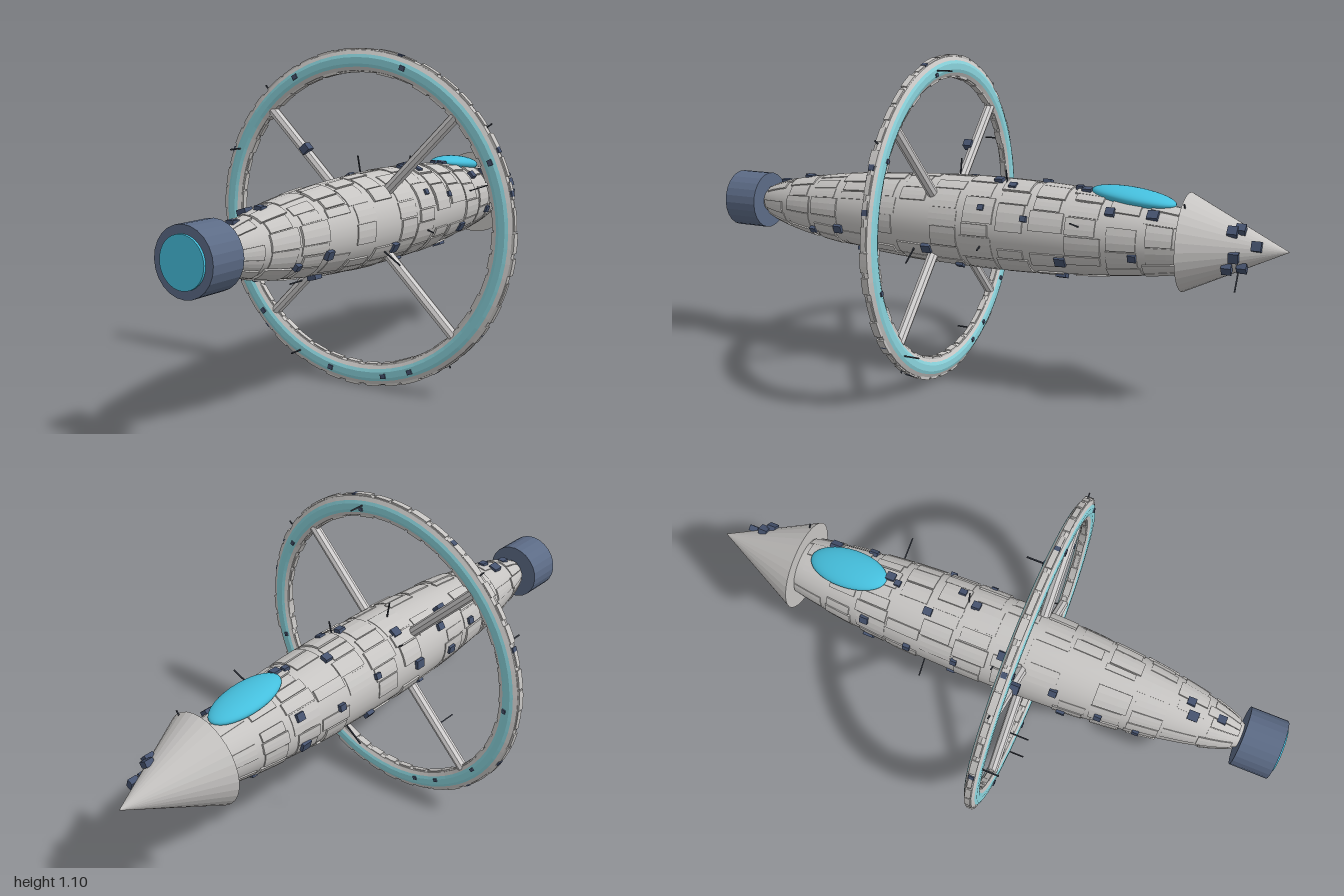
import * as THREE from 'three';
import { mergeGeometries } from 'three/addons/utils/BufferGeometryUtils.js';

const AXIS_Y = 0.555, HULL_R = 0.151, HULL_L = 0.9, RING_Z = 0.14;

const material = (name, color, side = THREE.FrontSide) =>
  Object.assign(new THREE.MeshStandardMaterial({ color, side }), { name });

// small seeded generator for panel layout
function seeded(seed) {
  return () => (seed = (seed * 16807) % 2147483647) / 2147483647;
}

// faceted normals
function flat(geometry) {
  const g = geometry.index ? geometry.toNonIndexed() : geometry;
  g.computeVertexNormals();
  return g;
}

const hullRadius = z => HULL_R * Math.sqrt(Math.max(0, 1 - (z / HULL_L) ** 2));
const coneRadius = z => 0.155 * (z + 1) / 0.31;

// box bent around the long axis: angle range, z range, radius range as functions of z
function bentPlate(a0, a1, z0, z1, inner, outer, segA, segZ) {
  const g = new THREE.BoxGeometry(1, 1, 1, segA, 1, segZ);
  const p = g.attributes.position;
  for (let i = 0; i < p.count; i++) {
    const a = a0 + (a1 - a0) * (p.getX(i) + 0.5);
    const z = z0 + (z1 - z0) * (p.getZ(i) + 0.5);
    const r = p.getY(i) > 0 ? outer(z) : inner(z);
    p.setXYZ(i, Math.sin(a) * r, Math.cos(a) * r, z);
  }
  return flat(g);
}

// box standing on a surface at angle a, radius r and depth z
function standing(w, h, d, a, r, z) {
  return new THREE.BoxGeometry(w, h, d).translate(0, r + h / 2 - 0.004, z).rotateZ(-a);
}

export function createModel() {
  const model = new THREE.Group();
  model.name = 'ringShip';
  const craft = new THREE.Group();
  craft.name = 'craft';
  craft.position.y = AXIS_Y;
  model.add(craft);

  const grey = material('hull grey', 0xc6c4c2);
  const pale = material('spoke grey', 0xd2d0d0);
  const slate = material('engine slate', 0x5c6b86);
  const navy = material('fitting navy', 0x46536f);
  const dark = material('antenna dark', 0x3a3f4a);
  const cyan = material('glow cyan', 0x45bfdd);
  const aqua = material('ring aqua', 0x8ad3dc, THREE.DoubleSide);
  const rim = material('ring grey', 0xc9c7c5, THREE.DoubleSide);

  const add = (name, geometry, mat) => {
    const mesh = new THREE.Mesh(geometry, mat);
    mesh.name = name;
    craft.add(mesh);
    return mesh;
  };

  // spindle hull
  add('hull', new THREE.SphereGeometry(1, 32, 32).rotateX(Math.PI / 2)
    .scale(HULL_R, HULL_R, HULL_L), grey);

  // raised hull plating in staggered rows
  const rnd = seeded(4711);
  const plates = [];
  const rows = 13;
  for (let i = 0; i < rows; i++) {
    const z0 = -0.69 + i * 1.55 / rows;
    let a = rnd() * 0.5;
    const end = a + Math.PI * 2;
    while (a < end - 0.05) {
      let next = Math.min(end, a + 0.22 + rnd() * 0.4);
      if (end - next < 0.15) next = end;
      const lift = 0.0015 + rnd() * 0.005;
      const za = z0 + rnd() * 0.025, zb = z0 + 1.55 / rows - rnd() * 0.02;
      if (rnd() < 0.8) {
        plates.push(bentPlate(a + 0.015, next - 0.015, za, zb,
          z => hullRadius(z) - 0.004, z => hullRadius(z) + lift, 3, 3));
      }
      a = next;
    }
  }
  add('hullPlating', mergeGeometries(plates), grey);

  // nose cone with a closed, overhanging base
  add('noseCone', flat(new THREE.ConeGeometry(0.155, 0.31, 32)
    .rotateX(-Math.PI / 2).translate(0, 0, -0.845)), grey);

  // engine drum and glowing exhaust disc
  add('engine', flat(new THREE.CylinderGeometry(0.1, 0.1, 0.125, 24)
    .rotateX(Math.PI / 2).translate(0, 0, 0.93)), slate);
  add('exhaust', new THREE.CylinderGeometry(0.075, 0.075, 0.009, 32)
    .rotateX(Math.PI / 2).translate(0, 0, 0.9955), cyan);

  // canopy blister
  const canopy = add('canopy', new THREE.SphereGeometry(1, 32, 20), cyan);
  canopy.scale.set(0.068, 0.029, 0.138);
  canopy.position.set(0, 0.127, -0.515);
  canopy.rotation.x = -0.11;

  // habitat ring: two aqua faces between grey outer and inner rims
  const band = (name, points, mat) => add(name,
    flat(new THREE.LatheGeometry(points.map(p => new THREE.Vector2(...p)), 72)
      .rotateX(Math.PI / 2).translate(0, 0, RING_Z)), mat);
  band('ringOuterRim', [[0.53, -0.018], [0.543, -0.011], [0.547, 0], [0.543, 0.011], [0.53, 0.018]], rim);
  band('ringInnerRim', [[0.49, 0.018], [0.478, 0.011], [0.474, 0], [0.478, -0.011], [0.49, -0.018]], rim);
  for (const s of [1, -1]) {
    band(s > 0 ? 'ringFrontGlow' : 'ringBackGlow',
      [[0.53, 0.018 * s], [0.52, 0.022 * s], [0.5, 0.022 * s], [0.49, 0.018 * s]], aqua);
  }

  // plating on the ring rims
  const ringPlates = [];
  for (let i = 0; i < 44; i++) {
    const a = i * Math.PI * 2 / 44, b = a + 0.09 + rnd() * 0.045;
    const w = 0.007 + rnd() * 0.006, h = rnd() * 0.003;
    ringPlates.push(bentPlate(a, b, RING_Z - w, RING_Z + w, () => 0.53, () => 0.547 + h, 3, 1));
    ringPlates.push(bentPlate(a, b, RING_Z - w, RING_Z + w, () => 0.4735 - h, () => 0.49, 3, 1));
  }
  add('ringPlating', mergeGeometries(ringPlates), grey);

  // four diagonal spokes
  for (let i = 0; i < 4; i++) {
    add('spoke', flat(new THREE.CylinderGeometry(0.018, 0.018, 0.36, 8)
      .translate(0, 0.305, RING_Z).rotateZ(Math.PI / 4 + i * Math.PI / 2)), pale);
  }

  // equipment boxes on the hull: [z, angle from top towards +x]
  const fittings = [];
  const hullSpots = [
    [-0.05, 1.05], [-0.2, 1.2], [-0.32, 2.1], [0.5, 1.95], [-0.07, 0.2], [0.62, 2.2],
    [0.7, -0.3], [0.68, 0.1], [0.79, 0], [-0.34, 0.05], [-0.37, 0.15], [0.07, -0.6],
    [-0.21, -0.3], [-0.13, 0.4], [-0.47, 0.8], [-0.6, 0.7], [0.26, -1], [0.42, -1.3],
    [0.3, -1.7], [0.12, -1.5], [-0.08, -1.2], [-0.25, -1.4], [-0.41, -1.1], [-0.4, -1.9],
    [0.55, -1.5], [-0.1, -2.2], [0.2, -2.5], [0.45, 2.9], [0.05, 2.6], [-0.3, 2.8],
    [-0.55, -2.7], [0.65, -2.8], [0.15, 2.1], [-0.55, 1.9],
  ];
  for (const [z, a] of hullSpots) {
    const s = 0.018 + rnd() * 0.014;
    fittings.push(standing(s, 0.016, s * 1.1, a, hullRadius(z), z));
  }
  // on the nose
  for (const [z, a] of [[-0.86, 0.55], [-0.84, 0.8], [-0.85, 1.75], [-0.83, 2.2], [-0.87, 2.4], [-0.91, 1.2]]) {
    fittings.push(standing(0.03, 0.02, 0.03, a, coneRadius(z), z));
  }
  // on the ring rims
  for (const a of [0.28, 0.45, 1.1, 1.35, 1.75, 2.2, 2.6, 3.2, 3.9, 4.25, 5.1, 5.8]) {
    fittings.push(standing(0.018, 0.012, 0.018, a, 0.541, RING_Z));
  }
  for (const a of [0.33, 1.15, 2.75, 2.95, 3.35, 3.98, 5.8]) {
    fittings.push(standing(0.018, 0.015, 0.012, a, 0.51, RING_Z + 0.02));
    fittings.push(standing(0.014, 0.012, 0.012, a + 0.7, 0.5, RING_Z - 0.02));
  }
  // on one spoke
  fittings.push(standing(0.03, 0.026, 0.03, -0.735, 0.29, RING_Z + 0.015));
  add('fittings', mergeGeometries(fittings), navy);

  // whip antennas: [z, angle, base radius, length]
  const whips = [
    [0.1, -0.17, 0.15, 0.06], [-0.1, 0.25, 0.15, 0.05], [-0.38, 1.24, 0.13, 0.09],
    [0.2, 2.16, 0.145, 0.08], [-0.2, -2.2, 0.145, 0.08], [-0.05, 1.9, 0.15, 0.03],
    [-0.7, 0.6, 0.14, 0.03], [-0.86, 2.5, 0.07, 0.08], [0.05, -0.9, 0.15, 0.03],
    [RING_Z, 0.96, 0.54, 0.03], [RING_Z, -0.72, 0.54, 0.03], [RING_Z, 2.5, 0.54, 0.02],
  ].map(([z, a, r, len]) => standing(0.004, len, 0.004, a, r, z));
  // fore-and-aft whips on the ring
  for (const [a, s] of [[0.2, -1], [-1.15, 1], [2.4, -1], [3.6, 1]]) {
    whips.push(new THREE.BoxGeometry(0.004, 0.004, 0.06)
      .translate(0, 0.515, RING_Z + s * 0.045).rotateZ(-a));
  }
  // whip on a lower spoke
  whips.push(new THREE.BoxGeometry(0.004, 0.004, 0.07)
    .translate(0, 0.315, RING_Z + 0.05).rotateZ(Math.PI * 0.75));
  add('antennas', mergeGeometries(whips), dark);

  return model;
}
